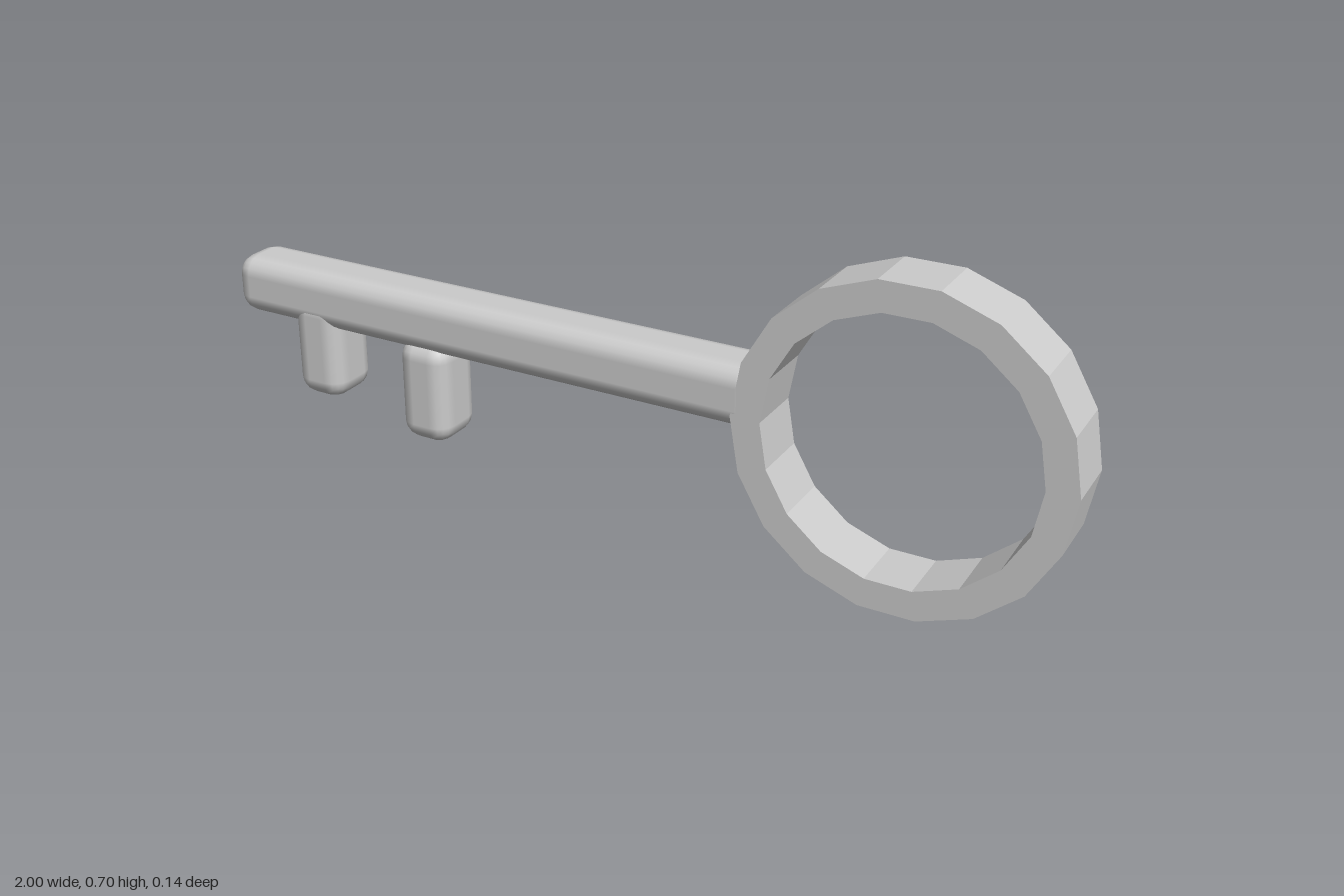
import * as THREE from 'three';
import { RoundedBoxGeometry } from 'three/addons/geometries/RoundedBoxGeometry.js';

const smooth = new THREE.MeshStandardMaterial({ color: 0xcccccc });
const faceted = new THREE.MeshStandardMaterial({ color: 0xcccccc, flatShading: true });

// Rounded bar given by its x and y extents, centred on z = 0
function bar(name, x0, x1, y0, y1) {
  const mesh = new THREE.Mesh(new RoundedBoxGeometry(x1 - x0, y1 - y0, 0.14, 2, 0.043), smooth);
  mesh.position.set((x0 + x1) / 2, (y0 + y1) / 2, 0);
  mesh.name = name;
  return mesh;
}

// Corner points of a regular polygon with a vertex on the +x axis
function polygon(radius, sides) {
  return Array.from({ length: sides }, (_, i) => {
    const a = (i / sides) * Math.PI * 2;
    return new THREE.Vector2(Math.cos(a) * radius, Math.sin(a) * radius);
  });
}

export function createModel() {
  const key = new THREE.Group();
  key.name = 'key';

  // Shaft, its inner end buried in the ring
  key.add(bar('shaft', -1, 0.338, 0.32, 0.456));

  // Two teeth under the tip
  key.add(bar('outerTooth', -0.841, -0.713, 0.145, 0.39));
  key.add(bar('innerTooth', -0.547, -0.419, 0.1, 0.342));

  // Eighteen-sided ring handle
  const outline = new THREE.Shape(polygon(0.357, 18));
  outline.holes.push(new THREE.Path(polygon(0.291, 18)));
  const ringGeometry = new THREE.ExtrudeGeometry(outline, { depth: 0.138, bevelEnabled: false });
  ringGeometry.translate(0, 0, -0.069);
  const ring = new THREE.Mesh(ringGeometry, faceted);
  ring.position.set(0.643, 0.352, 0);
  ring.name = 'ringHandle';
  key.add(ring);

  return key;
}
